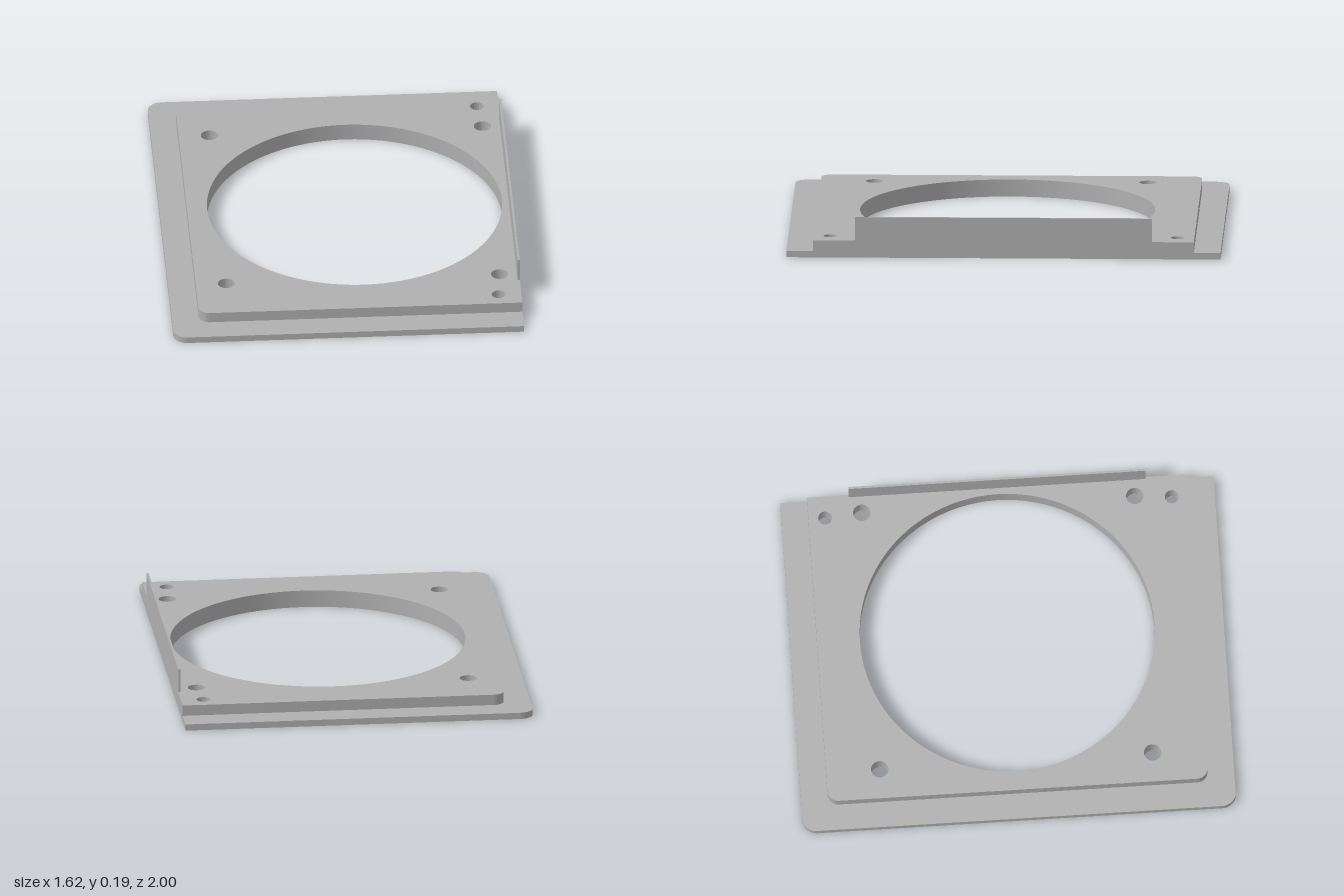
import * as THREE from 'three';
import { toCreasedNormals } from 'three/addons/utils/BufferGeometryUtils.js';

const RIGHT = 0.805;      // straight edge carrying the lip
const CENTRE_X = 0.085;   // centre of the large opening

// Plate outline with rounded corners on the -x side only, pierced by every hole
function plateGeometry(left, halfDepth, radius, bottom, top) {
  const s = new THREE.Shape();
  s.moveTo(RIGHT, -halfDepth);
  s.lineTo(RIGHT, halfDepth);
  s.lineTo(left + radius, halfDepth);
  s.absarc(left + radius, halfDepth - radius, radius, Math.PI / 2, Math.PI, false);
  s.lineTo(left, -halfDepth + radius);
  s.absarc(left + radius, -halfDepth + radius, radius, Math.PI, Math.PI * 1.5, false);
  s.closePath();

  const addHole = (x, z, r) => {
    const hole = new THREE.Path();
    hole.absarc(x, z, r, 0, Math.PI * 2, true);
    s.holes.push(hole);
  };
  addHole(CENTRE_X, 0, 0.68);
  for (const side of [-1, 1]) {
    addHole(CENTRE_X - 0.63, side * 0.63, 0.04);
    addHole(CENTRE_X + 0.63, side * 0.63, 0.04);
    addHole(0.7, side * 0.8, 0.032);
  }

  const g = new THREE.ExtrudeGeometry(s, { depth: top - bottom, bevelEnabled: false, curveSegments: 48 });
  g.rotateX(-Math.PI / 2);
  g.translate(0, bottom, 0);
  return toCreasedNormals(g, Math.PI / 6);
}

export function createModel() {
  const group = new THREE.Group();
  const grey = new THREE.MeshStandardMaterial({ color: 0xb0b0b0 });
  grey.name = 'plain grey';

  const add = (name, geometry) => {
    const mesh = new THREE.Mesh(geometry, grey);
    mesh.name = name;
    group.add(mesh);
    return mesh;
  };

  // Wide thin flange and the thicker raised plate on it
  add('baseFlange', plateGeometry(-0.81, 1, 0.065, 0, 0.03));
  add('raisedPlate', plateGeometry(-0.687, 0.877, 0.05, 0.03, 0.08));

  // Thin upright lip along the straight edge
  add('edgeLip', new THREE.BoxGeometry(0.01, 0.11, 1.37)).position.set(RIGHT - 0.005, 0.135, 0);

  return group;
}
